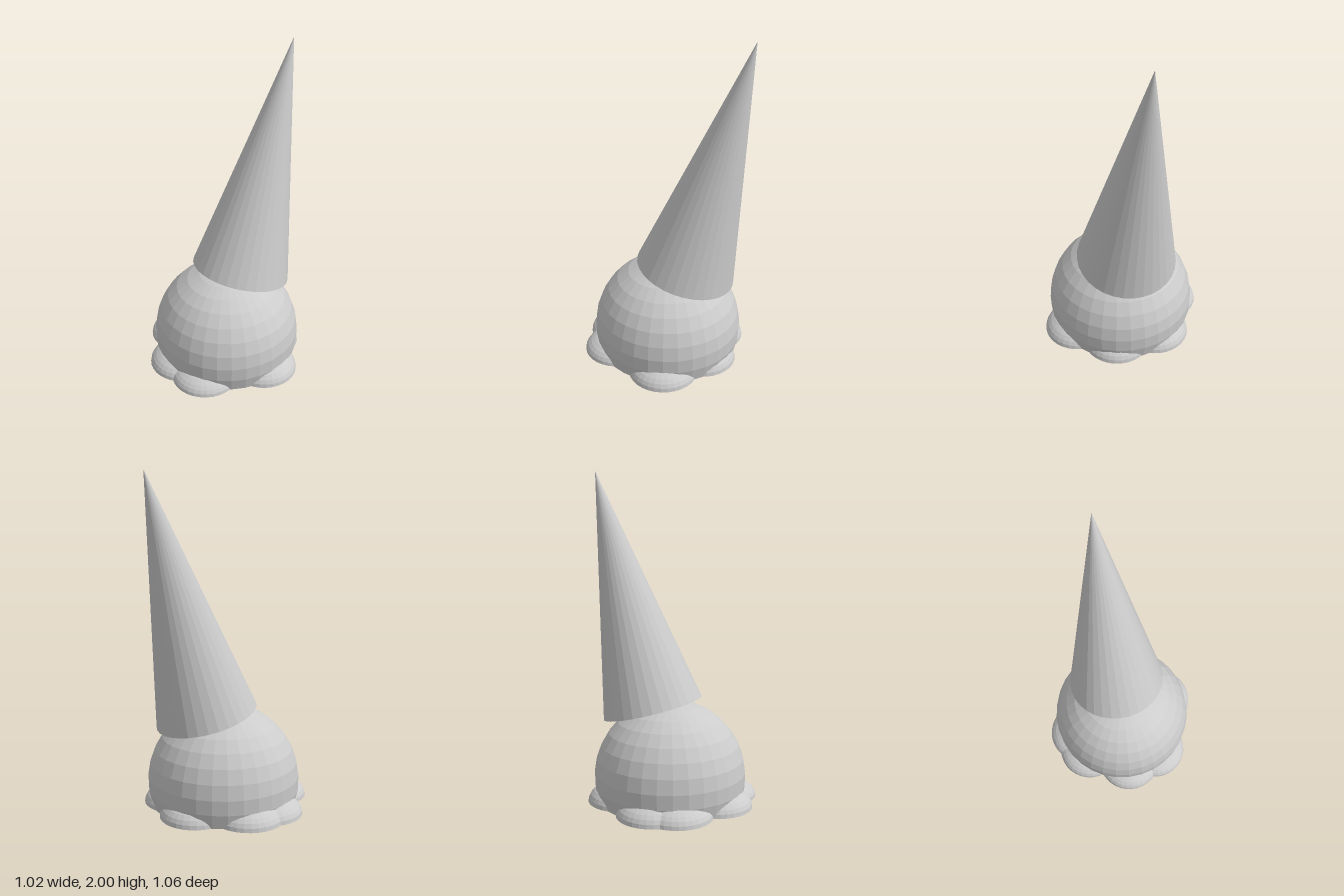
import * as THREE from 'three';

const material = new THREE.MeshStandardMaterial({ color: 0xcccccc, flatShading: true });

function addMesh(parent, name, geometry) {
  const mesh = new THREE.Mesh(geometry, material);
  mesh.name = name;
  parent.add(mesh);
  return mesh;
}

// Disc closing a part on the ground, facing down
function addUnderside(parent, name, radius, x, z) {
  const disc = addMesh(parent, name, new THREE.CircleGeometry(radius, 32));
  disc.rotation.x = Math.PI / 2;
  disc.position.set(x, 0, z);
}

export function createModel() {
  const model = new THREE.Group();
  model.name = 'hattedFigure';

  // Round body, cut flat at the ground
  const radius = 0.465, bodyX = 0.02, bodyY = 0.145;
  const cut = Math.acos(-bodyY / radius);
  const body = addMesh(model, 'body',
    new THREE.SphereGeometry(radius, 32, 10, 0, Math.PI * 2, 0, cut));
  body.position.set(bodyX, bodyY, 0);
  addUnderside(model, 'bodyUnderside', radius * Math.sin(cut), bodyX, 0);

  // Flattened half-dome lobes around the foot: x, z, radius, height
  const lobes = [
    [0.075, 0.312, 0.214, 0.12],
    [-0.268, 0.155, 0.212, 0.105],
    [-0.298, -0.045, 0.212, 0.115],
    [-0.13, -0.285, 0.214, 0.115],
    [0.008, -0.31, 0.219, 0.12],
    [0.27, -0.148, 0.215, 0.125],
    [0.27, 0.11, 0.215, 0.125],
  ];
  for (const [x, z, r, height] of lobes) {
    const dome = addMesh(model, 'footLobe',
      new THREE.SphereGeometry(1, 32, 8, 0, Math.PI * 2, 0, Math.PI / 2));
    dome.scale.set(r, height, r);
    dome.position.set(x, 0, z);
    addUnderside(model, 'lobeUnderside', r, x, z);
  }

  // Tall hollow cone hat with a thin rim, leaning to the side
  const profile = [[0, 1.3], [0.272, 0], [0.31, 0], [0, 1.487]]
    .map(([r, y]) => new THREE.Vector2(r, y));
  const hat = addMesh(model, 'hat', new THREE.LatheGeometry(profile, 32));
  hat.position.set(0.134, 0.557, 0);
  hat.rotation.z = -0.2525;

  return model;
}
